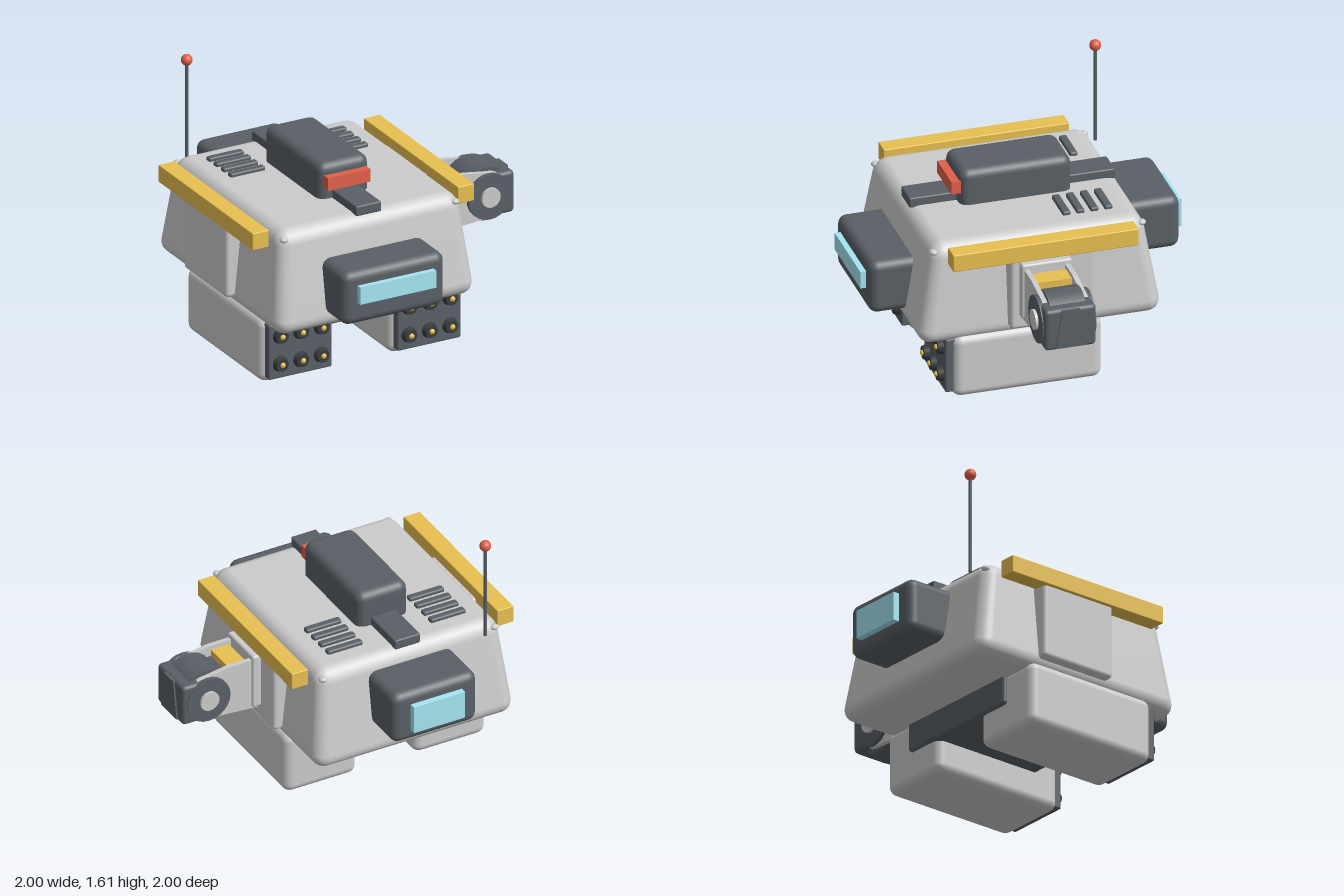
import * as THREE from 'three';
import { RoundedBoxGeometry } from 'three/addons/geometries/RoundedBoxGeometry.js';
import { mergeVertices } from 'three/addons/utils/BufferGeometryUtils.js';

const mat = (color) => new THREE.MeshStandardMaterial({ color });
const grey = mat(0xcccccc);
const dark = mat(0x596066);
const black = mat(0x3a3d40);
const yellow = mat(0xe8bf50);
const cyan = mat(0xa4e6f2);
const red = mat(0xe0604a);

const CX = -0.255; // centre line of the hull

export function createModel() {
  const model = new THREE.Group();
  model.name = 'walkerRobot';

  const add = (name, geometry, material, x = 0, y = 0, z = 0) => {
    const mesh = new THREE.Mesh(geometry, material);
    mesh.name = name;
    mesh.position.set(x, y, z);
    model.add(mesh);
    return mesh;
  };
  // Box given by its minimum and maximum on each axis, with rounded edges if r > 0
  const box = (name, material, [x0, x1], [y0, y1], [z0, z1], r = 0) => {
    const size = [x1 - x0, y1 - y0, z1 - z0];
    const geometry = r ? new RoundedBoxGeometry(...size, 3, r) : new THREE.BoxGeometry(...size);
    return add(name, geometry, material, (x0 + x1) / 2, (y0 + y1) / 2, (z0 + z1) / 2);
  };
  const cylinderZ = (name, material, r0, r1, length, x, y, z) =>
    add(name, new THREE.CylinderGeometry(r1, r0, length, 24).rotateX(Math.PI / 2), material, x, y, z);

  // Hull: rounded box narrowing towards the top
  let hull = new RoundedBoxGeometry(1.35, 0.63, 1.51, 4, 0.09);
  hull.deleteAttribute('normal');
  hull.deleteAttribute('uv');
  const p = hull.attributes.position;
  for (let i = 0; i < p.count; i++) {
    const t = (p.getY(i) + 0.315) / 0.63;
    p.setX(i, p.getX(i) * (1 - 0.1 * t));
    p.setZ(i, p.getZ(i) * (1 - 0.14 * t));
  }
  hull = mergeVertices(hull);
  hull.computeVertexNormals();
  add('hull', hull, grey, CX, 0.682, 0.012);

  // Corner screws
  for (const x of [-0.83, 0.32]) for (const z of [-0.63, 0.65]) {
    const screw = add('cornerScrew', new THREE.SphereGeometry(0.026, 12, 8), grey, x, 0.945, z);
    screw.scale.y = 0.7;
  }

  // Front and rear visor housings with glowing windows
  box('frontVisor', dark, [-0.6, 0.085], [0.45, 0.79], [0.5, 0.965], 0.055);
  box('frontWindow', cyan, [-0.51, 0], [0.595, 0.705], [0.93, 1]);
  box('rearVisor', dark, [-0.54, 0.03], [0.57, 0.91], [-0.96, -0.5], 0.055);
  box('rearWindow', cyan, [-0.43, -0.085], [0.65, 0.83], [-1, -0.93]);

  // Roof: spine, turret, sensor and vents
  box('roofSpine', dark, [-0.34, -0.17], [0.985, 1.05], [-0.62, 0.645], 0.01);
  box('roofTurret', dark, [-0.425, -0.085], [0.93, 1.22], [-0.33, 0.355], 0.055);
  box('turretSensor', red, [-0.395, -0.11], [1.07, 1.15], [0.32, 0.405]);
  for (const x of [-0.603, 0.088]) for (let i = 0; i < 4; i++) {
    const z = -0.465 + i * 0.086;
    box('roofVent', dark, [x - 0.117, x + 0.117], [0.97, 1.02], [z - 0.024, z + 0.024], 0.012);
  }

  // Antenna
  add('antennaRod', new THREE.CylinderGeometry(0.011, 0.011, 0.62, 12), dark, -0.745, 1.25, -0.675);
  add('antennaTip', new THREE.SphereGeometry(0.035, 20, 14), red, -0.745, 1.57, -0.675);

  // Underside block joining the feet
  box('underCarriage', dark, [-0.7, 0.19], [0.195, 0.42], [-0.385, 0.385], 0.02);

  for (const side of [-1, 1]) {
    const span = (a, b) => [CX + side * a, CX + side * b].sort((m, n) => m - n);
    // Side rail and side panel
    box('sideRail', yellow, span(0.635, 0.745), [0.885, 0.995], [-0.56, 0.58], 0.006);
    box('sidePanel', grey, span(0.6, 0.722), [0.43, 0.93], [-0.3, 0.22], 0.025);
    // Foot with a front plate holding six nozzles
    box('foot', grey, span(0.19, 0.675), [0, 0.405], [-0.36, 0.555], 0.055);
    box('nozzlePlate', dark, span(0.22, 0.645), [0.035, 0.385], [0.52, 0.597], 0.01);
    for (let i = 0; i < 3; i++) for (const y of [0.13, 0.31]) {
      const x = CX + side * (0.295 + i * 0.1375);
      cylinderZ('nozzle', black, 0.052, 0.04, 0.04, x, y, 0.61);
      add('nozzleTip', new THREE.SphereGeometry(0.018, 12, 8), yellow, x, y, 0.628);
    }
  }

  // Arm on the left side
  const AX = 0.82, AY = 0.68, AZ = 0.013;
  box('armMount', grey, [0.44, 0.52], [0.52, 0.88], [AZ - 0.155, AZ + 0.155], 0.015);

  // Two cheek plates, rounded around the wrist
  const cheek = new THREE.Shape();
  cheek.moveTo(0.48, 0.51);
  cheek.lineTo(AX, 0.535);
  cheek.absarc(AX, AY, 0.145, -Math.PI / 2, Math.PI / 2, false);
  cheek.lineTo(0.66, 0.85);
  cheek.lineTo(0.48, 0.85);
  const cheekGeometry = new THREE.ExtrudeGeometry(cheek, { depth: 0.03, bevelEnabled: false, curveSegments: 20 });
  for (const z of [-0.14, 0.11]) add('armCheek', cheekGeometry, grey, 0, 0, AZ + z);

  box('armCore', dark, [0.5, 0.8], [0.56, 0.78], [AZ - 0.11, AZ + 0.11]);
  box('armStripe', yellow, [0.535, 0.655], [0.76, 0.825], [AZ - 0.115, AZ + 0.115]);
  add('armPiston', new THREE.CylinderGeometry(0.03, 0.03, 0.14, 16).rotateZ(Math.PI / 2), grey, 0.53, 0.502, AZ);

  // Wrist drum with side discs, hub caps and a squared head
  cylinderZ('wristDrum', dark, 0.17, 0.17, 0.22, AX, AY, AZ);
  for (const s of [-1, 1]) {
    cylinderZ('wristDisc', dark, 0.145, 0.145, 0.03, AX, AY, AZ + s * 0.15);
    cylinderZ('hubCap', grey, 0.062, 0.062, 0.03, AX, AY, AZ + s * 0.167);
  }
  box('wristHead', dark, [0.8, 0.99], [0.545, 0.812], [AZ - 0.158, AZ + 0.158], 0.025);

  // Tapered muzzle on the end of the head
  const muzzle = new THREE.Shape([[-0.095, 0.56], [0.095, 0.56], [0.055, 0.805], [-0.055, 0.805]]
    .map(([u, v]) => new THREE.Vector2(u, v)));
  const muzzleGeometry = new THREE.ExtrudeGeometry(muzzle, { depth: 0.05, bevelEnabled: false }).rotateY(Math.PI / 2);
  add('muzzle', muzzleGeometry, dark, 0.95, 0, AZ);

  return model;
}
